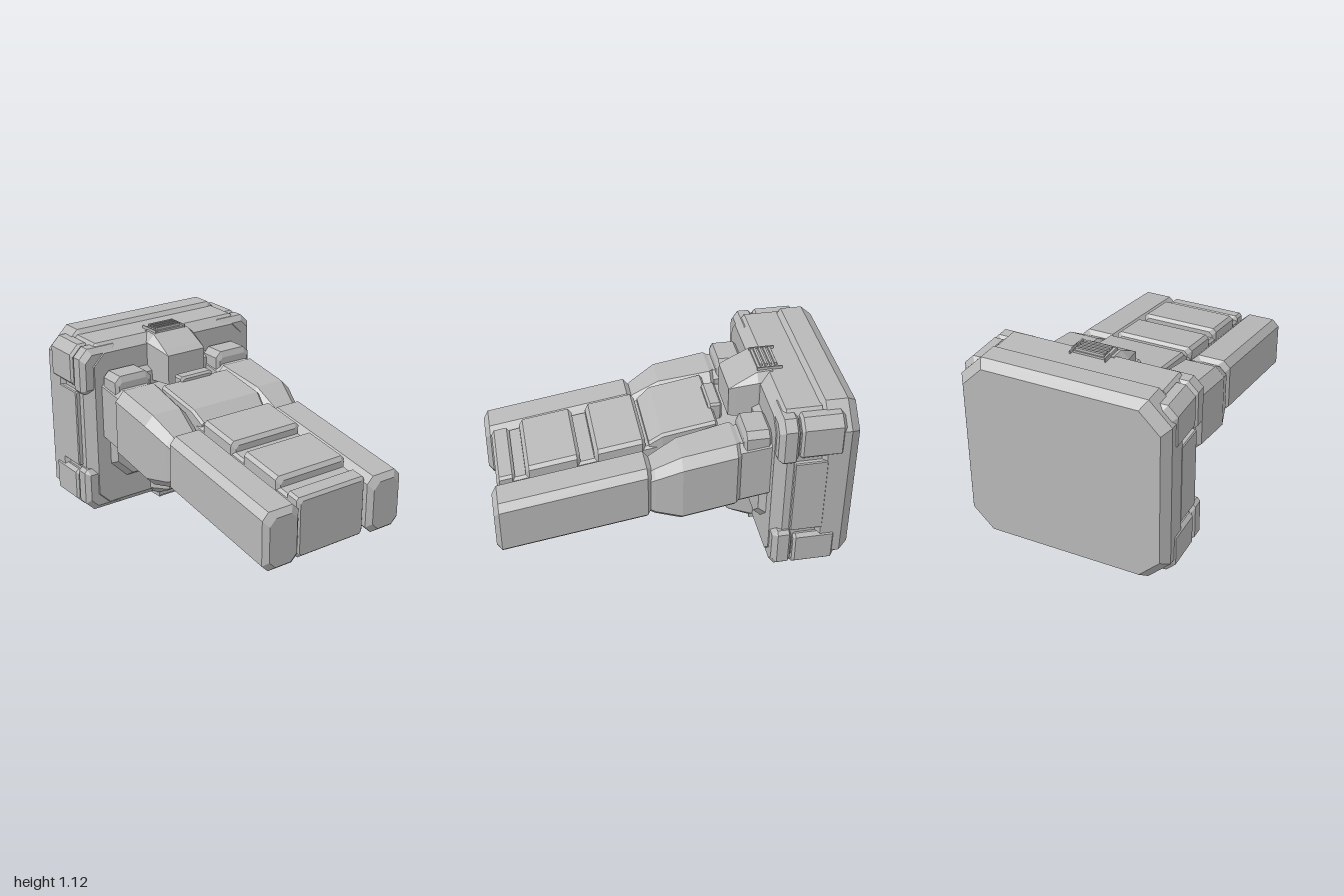
import * as THREE from 'three';

const grey = new THREE.MeshStandardMaterial({ color: 0xb8b8b8 });
grey.name = 'plain grey';

// Chamfered rectangle, counter-clockwise seen from +z. c = one chamfer, or [right top, left top, left bottom, right bottom]
function ring([z, x0, x1, y0, y1, c]) {
  const [a, b, d, e] = Array.isArray(c) ? c : [c, c, c, c];
  return [
    [x1, y0 + e, z], [x1, y1 - a, z], [x1 - a, y1, z], [x0 + b, y1, z],
    [x0, y1 - b, z], [x0, y0 + d, z], [x0 + d, y0, z], [x1 - e, y0, z],
  ];
}

// Faceted solid through sections [z, x0, x1, y0, y1, chamfer] running from front to back
function loft(name, sections) {
  const rings = sections.map(ring);
  const pos = [];
  const tri = (...p) => p.forEach((v) => pos.push(...v));
  const last = rings[rings.length - 1];
  for (let i = 0; i < rings.length - 1; i++) {
    const f = rings[i], k = rings[i + 1];
    for (let j = 0; j < 8; j++) {
      const n = (j + 1) % 8;
      tri(f[j], k[j], k[n]);
      tri(f[j], k[n], f[n]);
    }
  }
  for (let j = 1; j < 7; j++) {
    tri(rings[0][0], rings[0][j], rings[0][j + 1]);
    tri(last[0], last[j + 1], last[j]);
  }
  const geo = new THREE.BufferGeometry();
  geo.setAttribute('position', new THREE.Float32BufferAttribute(pos, 3));
  geo.computeVertexNormals();
  const mesh = new THREE.Mesh(geo, grey);
  mesh.name = name;
  return mesh;
}

// Mirror sections across x
const flip = (sections) => sections.map(([z, x0, x1, y0, y1, c]) =>
  [z, -x1, -x0, y0, y1, Array.isArray(c) ? [c[1], c[0], c[3], c[2]] : c]);

// Mirror sections across the mid height of the base
const MID = 0.557;
const flipY = (sections) => sections.map(([z, x0, x1, y0, y1, c]) =>
  [z, x0, x1, 2 * MID - y1, 2 * MID - y0, Array.isArray(c) ? [c[3], c[2], c[1], c[0]] : c]);

// Bar with bevelled ends whose bottom and top follow functions of z
function bar(zf, zb, x0, x1, bottom, top, c, b) {
  const s = (z, i) => [z, x0 + i, x1 - i, bottom(z) + i, top(z) - i, c];
  return [s(zf, b), s(zf - b, 0), s(zb + b, 0), s(zb, b)];
}

// Sloping top and bottom lines of the front rails
const top = (d) => (z) => 0.61 + (1 - z) * 0.16 + d;
const bottom = (d) => (z) => 0.27 + (1 - z) * 0.16 + d;
const level = (y) => () => y;

export function createModel() {
  const g = new THREE.Group();
  g.name = 'wall mounted bracket';
  const add = (name, s) => g.add(loft(name, s));
  const pair = (name, s) => {
    add('left ' + name, s);
    add('right ' + name, flip(s));
  };

  // Base slab and body
  add('backSlab', [
    [-0.79, -0.58, 0.58, 0.03, 1.085, 0.12],
    [-0.82, -0.61, 0.61, 0, 1.115, 0.13],
    [-0.945, -0.61, 0.61, 0, 1.115, 0.13],
    [-1, -0.57, 0.57, 0.04, 1.075, 0.12],
  ]);
  add('body', [
    [-0.54, -0.535, 0.535, 0.08, 1.04, 0.07],
    [-0.6, -0.585, 0.585, 0.025, 1.09, 0.095],
    [-0.8, -0.585, 0.585, 0.025, 1.09, 0.095],
  ]);
  add('frontPlate', [
    [-0.5, -0.42, 0.42, 0.25, 0.88, 0.1],
    [-0.545, -0.45, 0.45, 0.22, 0.91, 0.11],
  ]);
  pair('sidePanel', bar(-0.64, -0.83, 0.5, 0.612, level(0.32), level(0.8), 0.006, 0.006));

  // Two-piece corner guards on all four corners
  const guard = [
    [-0.545, 0.41, 0.59, 0.83, 1.042, [0.045, 0, 0, 0]],
    [-0.575, 0.37, 0.615, 0.8, 1.075, [0.055, 0.01, 0, 0.02]],
    [-0.64, 0.37, 0.615, 0.8, 1.075, [0.055, 0.01, 0, 0.02]],
    [-0.655, 0.4, 0.6, 0.83, 1.06, [0.055, 0.01, 0, 0.02]],
  ];
  const cheek = [
    [-0.665, 0.49, 0.605, 0.84, 1.065, [0.055, 0.03, 0, 0.02]],
    [-0.68, 0.48, 0.617, 0.83, 1.077, [0.055, 0.03, 0, 0.02]],
    [-0.895, 0.48, 0.617, 0.83, 1.077, [0.055, 0.03, 0, 0.02]],
    [-0.92, 0.49, 0.59, 0.85, 1.05, [0.05, 0.03, 0, 0.02]],
  ];
  for (const [label, f] of [['upper', (s) => s], ['lower', flipY]]) {
    pair(label + ' cornerGuard', f(guard));
    pair(label + ' cornerCheek', f(cheek));
  }

  // Central brackets above and below the arm
  add('upperBracket', [
    [-0.37, -0.13, 0.13, 0.82, 1.0, 0],
    [-0.41, -0.14, 0.14, 0.82, 1.025, [0.012, 0.012, 0, 0]],
    [-0.53, -0.168, 0.168, 0.82, 1.09, [0.045, 0.045, 0, 0]],
    [-0.62, -0.168, 0.168, 0.82, 1.095, [0.045, 0.045, 0, 0]],
  ]);
  add('lowerBracket', [
    [-0.385, -0.13, 0.13, 0.125, 0.31, 0],
    [-0.42, -0.14, 0.14, 0.1, 0.3, [0, 0, 0.015, 0.015]],
    [-0.53, -0.168, 0.168, 0.045, 0.27, [0, 0, 0.045, 0.045]],
    [-0.62, -0.168, 0.168, 0.03, 0.27, [0, 0, 0.045, 0.045]],
  ]);

  // Slatted vents with side fins
  for (const [label, f] of [['upper', (s) => s], ['lower', flipY]]) {
    add(label + ' ventBase', f(bar(-0.54, -0.66, -0.095, 0.095, level(1.08), level(1.102), 0, 0)));
    for (let i = 0; i < 4; i++) {
      const z = -0.555 - i * 0.028;
      add(label + ' ventSlat', f(bar(z, z - 0.014, -0.085, 0.085, level(1.1), level(1.117), 0, 0)));
    }
    pair(label + ' ventFin', f(bar(-0.535, -0.68, 0.1, 0.107, level(1.07), level(1.108), 0, 0)));
  }

  // Side rails, shoulders and their rear ends
  pair('rail', bar(1, 0.12, 0.24, 0.478, bottom(0), top(0), 0.04, 0.028));
  pair('shoulder', [
    [0.13, 0.255, 0.465, 0.43, 0.71, 0.04],
    [0.105, 0.25, 0.475, 0.415, 0.73, 0.045],
    [-0.04, 0.225, 0.517, 0.386, 0.815, 0.055],
    [-0.345, 0.2, 0.517, 0.44, 0.867, 0.055],
    [-0.37, 0.235, 0.49, 0.455, 0.86, 0.05],
  ]);
  pair('rearArm', [
    [-0.35, 0.235, 0.49, 0.45, 0.855, 0.04],
    [-0.54, 0.235, 0.49, 0.48, 0.88, 0.04],
  ]);
  pair('armCap', [
    [-0.385, 0.26, 0.465, 0.8, 0.9, [0.02, 0.02, 0, 0]],
    [-0.4, 0.24, 0.483, 0.8, 0.935, [0.035, 0.035, 0, 0]],
    [-0.525, 0.24, 0.483, 0.8, 0.935, [0.035, 0.035, 0, 0]],
    [-0.54, 0.255, 0.47, 0.8, 0.92, [0.035, 0.035, 0, 0]],
  ]);

  // Centre beam with raised plates on its top and bottom
  add('centreBeam', [
    [0.94, -0.235, 0.235, 0.3, 0.6, 0.015],
    [0.1, -0.235, 0.235, 0.43, 0.735, 0.015],
    [-0.25, -0.235, 0.235, 0.45, 0.79, 0.015],
    [-0.52, -0.235, 0.235, 0.49, 0.8, 0.015],
  ]);
  add('noseBlock', bar(0.965, 0.86, -0.235, 0.235, bottom(-0.005), top(0.005), 0.015, 0.016));
  for (const [zf, zb] of [[0.8, 0.49], [0.41, 0.12]]) {
    add('beamPlate', bar(zf, zb, -0.24, 0.24, bottom(-0.02), top(0.037), 0.02, 0.02));
  }
  add('rearBeamPlate', [
    [0.1, -0.225, 0.225, 0.43, 0.755, 0.015],
    [0.025, -0.242, 0.242, 0.42, 0.815, 0.015],
    [-0.275, -0.242, 0.242, 0.445, 0.867, 0.015],
    [-0.29, -0.23, 0.23, 0.46, 0.85, 0.015],
  ]);
  add('latch', bar(-0.26, -0.34, -0.113, 0.113, level(0.75), level(0.893), 0.012, 0.012));

  return g;
}
